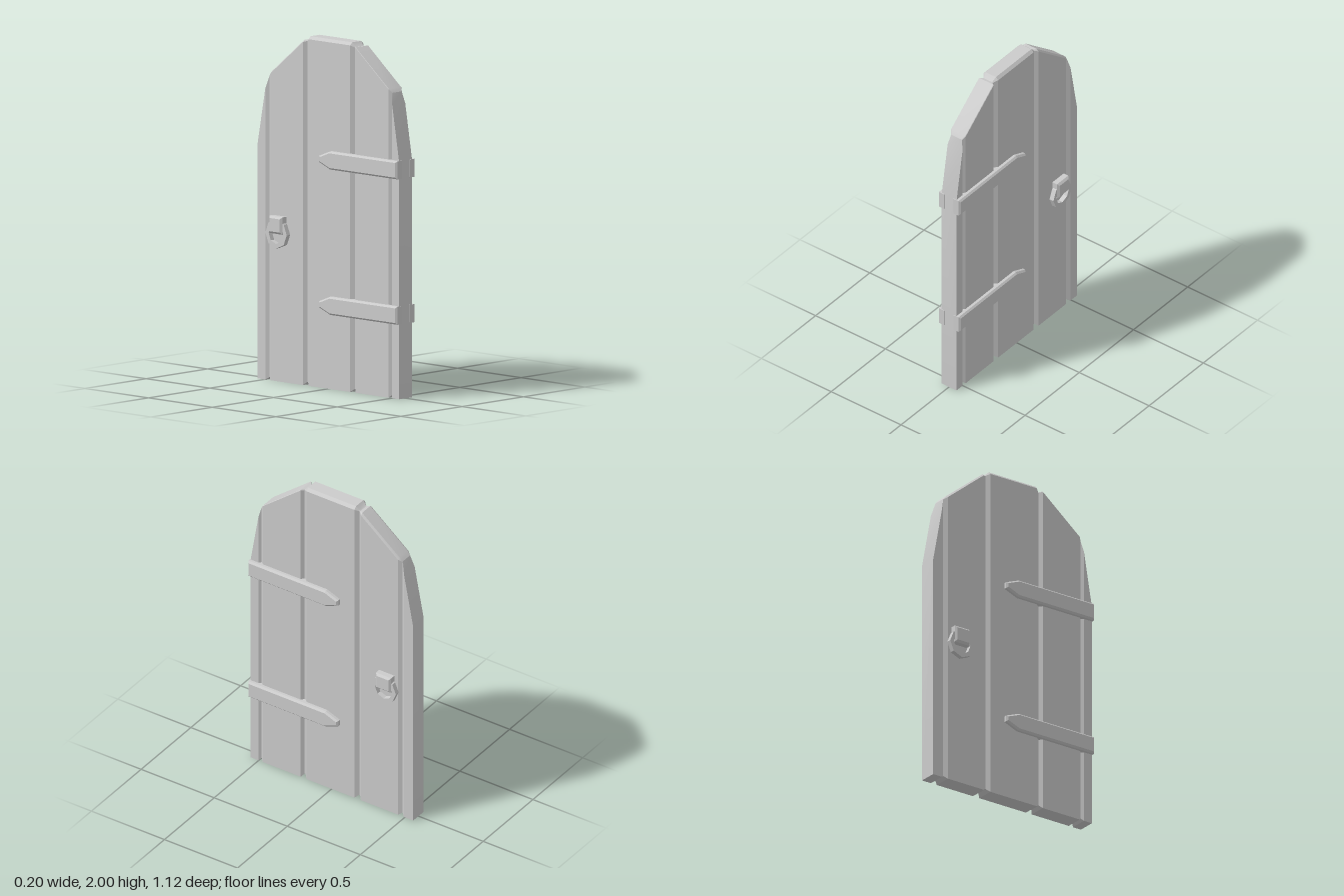
import * as THREE from 'three';
import { toCreasedNormals } from 'three/addons/utils/BufferGeometryUtils.js';

const material = new THREE.MeshStandardMaterial({ color: 0xcccccc });

// Loft of closed cross-sections (equal point counts), ordered along +z, capped at both ends
function loft(sections) {
  const n = sections[0].length;
  const index = [];
  for (let i = 0; i < sections.length - 1; i++) {
    for (let j = 0; j < n; j++) {
      const a = i * n + j, b = i * n + (j + 1) % n;
      index.push(a, b, b + n, a, b + n, a + n);
    }
  }
  const last = (sections.length - 1) * n;
  for (let j = 1; j < n - 1; j++) {
    index.push(0, j + 1, j, last, last + j, last + j + 1);
  }
  const geo = new THREE.BufferGeometry();
  geo.setAttribute('position', new THREE.Float32BufferAttribute(sections.flat(2), 3));
  geo.setIndex(index);
  return toCreasedNormals(geo, 0.35);
}

// Bevelled plate drawn in [z, y] points, centred on x = 0 with the given thickness
function plate(points, thickness, bevel, hole) {
  const toShape = (p) => p.map(([z, y]) => new THREE.Vector2(-z, y));
  const shape = new THREE.Shape(toShape(points));
  if (hole) shape.holes.push(new THREE.Path(toShape(hole)));
  const geo = new THREE.ExtrudeGeometry(shape, {
    depth: thickness - 2 * bevel, bevelEnabled: bevel > 0, bevelSegments: 1,
    bevelThickness: bevel, bevelSize: bevel, bevelOffset: -bevel,
  });
  geo.translate(0, 0, bevel - thickness / 2);
  geo.rotateY(Math.PI / 2);
  return geo;
}

const ring = (radius, sides = 8) => Array.from({ length: sides }, (_, i) => {
  const a = (i / sides) * Math.PI * 2;
  return [Math.sin(a) * radius, Math.cos(a) * radius];
});

export function createModel() {
  const door = new THREE.Group();
  door.name = 'door';
  const add = (name, geo, x = 0, y = 0, z = 0) => {
    const mesh = new THREE.Mesh(geo, material);
    mesh.name = name;
    mesh.position.set(x, y, z);
    door.add(mesh);
  };

  // Planked leaf: stations of [z, top, half thickness, bottom, top chamfer]
  const stations = [
    [-0.557, 1.34, 0.053, 0, 0.003],
    [-0.495, 1.67, 0.053, 0, 0.003],
    [-0.475, 1.745, 0.038, 0.015, 0.003],
    [-0.453, 1.77, 0.053, 0, 0.012],
    [-0.2, 1.975, 0.053, 0, 0.012],
    [-0.182, 1.975, 0.035, 0.018, 0.005],
    [-0.176, 1.978, 0.035, 0.018, 0.005],
    [-0.155, 2, 0.053, 0, 0.016],
    [0.172, 2, 0.053, 0, 0.016],
    [0.192, 1.978, 0.035, 0.018, 0.005],
    [0.197, 1.975, 0.035, 0.018, 0.005],
    [0.213, 1.977, 0.053, 0, 0.003],
    [0.472, 1.767, 0.053, 0, 0.003],
    [0.488, 1.745, 0.04, 0.015, 0.003],
    [0.502, 1.68, 0.053, 0, 0.003],
    [0.557, 1.355, 0.053, 0, 0.003],
  ];
  add('planks', loft(stations.map(([z, t, h, b, c]) => [
    [h, b, z], [h, t - c, z], [h - c, t, z],
    [c - h, t, z], [-h, t - c, z], [-h, b, z],
  ])));

  // Hinge straps with blunt pointed tips
  const strap = plate([
    [0.56, -0.052], [0.03, -0.052], [-0.056, -0.018],
    [-0.056, 0.018], [0.03, 0.052], [0.56, 0.052],
  ], 0.056, 0.01);

  // Ring pull hanging from a bevelled block
  const pull = plate(ring(0.084), 0.028, 0, ring(0.058));
  const block = plate([
    [0.052, -0.05], [-0.052, -0.05], [-0.052, 0.05], [0.052, 0.05],
  ], 0.056, 0.012);

  for (const side of [-1, 1]) {
    for (const y of [0.48, 1.312]) add('hingeStrap', strap, side * 0.051, y, 0);
    add('pullRing', pull, side * 0.073, 0.85, -0.378);
    add('pullBlock', block, side * 0.071, 0.9, -0.378);
  }
  return door;
}
